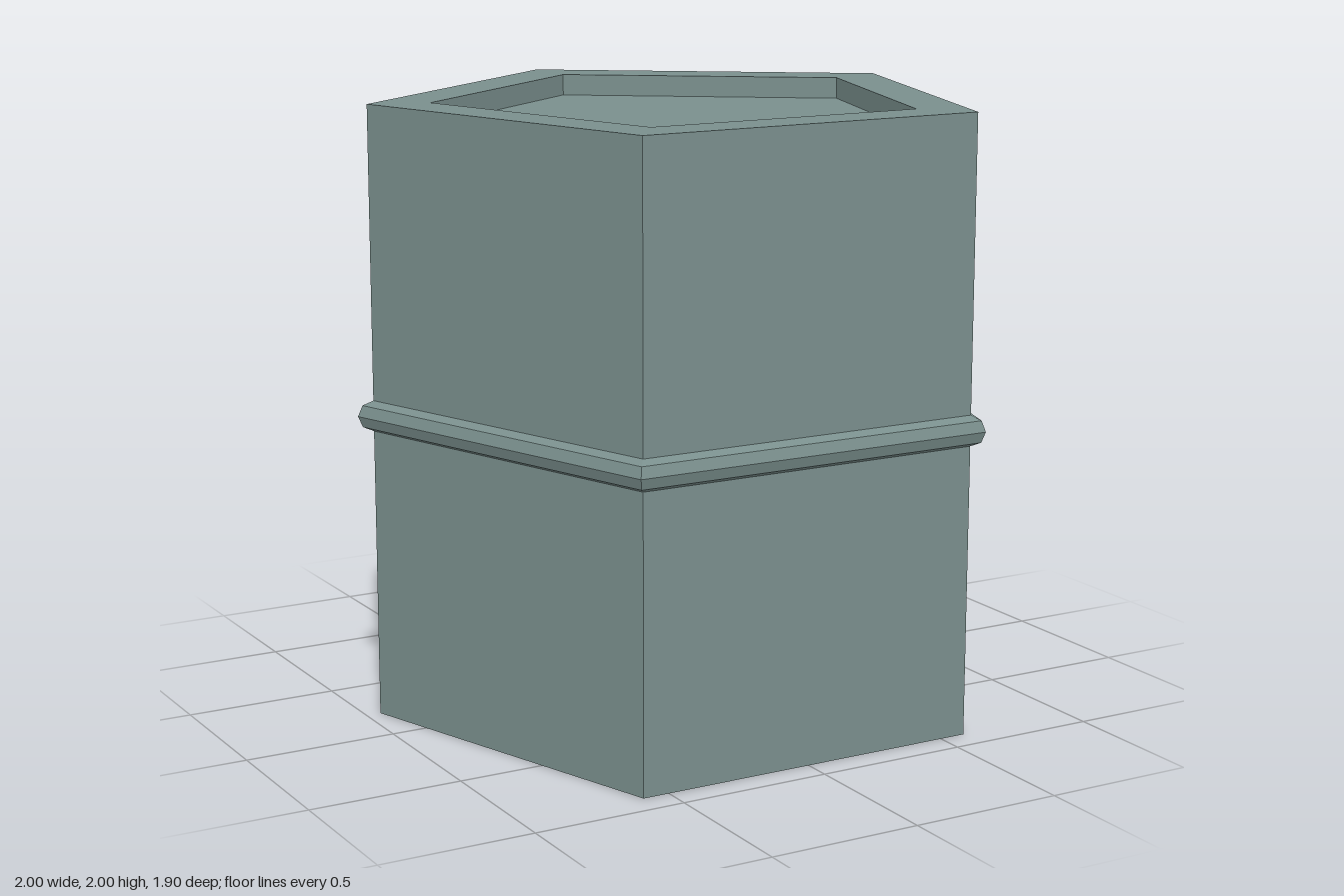
import * as THREE from 'three';

const SIDES = 5;
const CENTRE_Z = 0.1; // shifts the pentagon so its bounds are centred on z

// Revolves a profile in five flat steps, with one corner pointing to the back
function pentagonal(name, profile, material) {
  const points = profile.map(([r, y]) => new THREE.Vector2(r, y));
  const mesh = new THREE.Mesh(new THREE.LatheGeometry(points, SIDES, Math.PI), material);
  mesh.name = name;
  mesh.position.z = CENTRE_Z;
  return mesh;
}

export function createModel() {
  const group = new THREE.Group();
  group.name = 'pentagonalColumn';

  const stone = new THREE.MeshStandardMaterial({ color: 0x7a8f8d, flatShading: true });
  stone.name = 'greyGreenStone';

  // Column with a shallow recess sunk into its top
  const body = [[0, 0], [1, 0], [1, 2], [0.8, 2], [0.8, 1.93], [0, 1.93]];
  group.add(pentagonal('columnBody', body, stone));

  // Eight-sided moulding around the middle
  const band = [];
  for (let i = 0; i <= 8; i++) {
    const a = (i / 8) * Math.PI * 2;
    band.push([1 + 0.05 * Math.cos(a), 1 + 0.05 * Math.sin(a)]);
  }
  group.add(pentagonal('middleBand', band, stone));

  return group;
}
